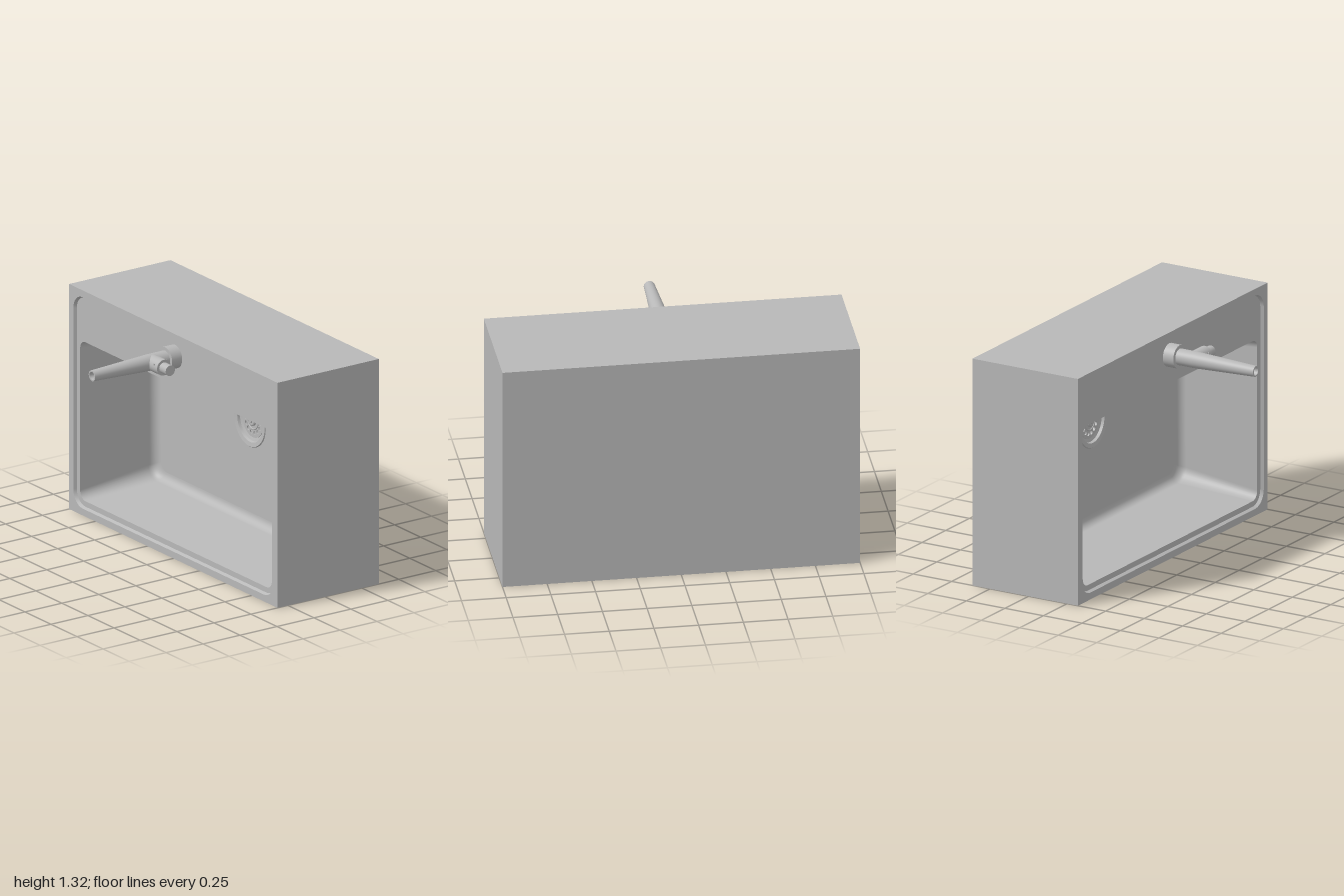
import * as THREE from 'three';

const FRONT = 0.07, DECK = 0.052, FLOOR = -0.45, DRAIN_Y = 0.7, DRAIN_R = 0.15;

// Rounded rectangle outline, anticlockwise seen from the front
function outline(hw, y0, y1, r, n = 8) {
  const pts = [];
  const corners = [[hw - r, y0 + r, -90], [hw - r, y1 - r, 0], [-hw + r, y1 - r, 90], [-hw + r, y0 + r, 180]];
  for (const [cx, cy, start] of corners) {
    for (let i = 0; i <= n; i++) {
      const a = THREE.MathUtils.degToRad(start + (90 * i) / n);
      pts.push(new THREE.Vector2(cx + r * Math.cos(a), cy + r * Math.sin(a)));
    }
  }
  return pts;
}

// Inward-facing wall through successive outlines
function wall(loops) {
  const n = loops[0].pts.length, pos = [], idx = [];
  for (const { pts, z } of loops) for (const p of pts) pos.push(p.x, p.y, z);
  for (let k = 0; k < loops.length - 1; k++) {
    for (let i = 0; i < n; i++) {
      const j = (i + 1) % n;
      const a = k * n + i, b = k * n + j, c = b + n, d = a + n;
      idx.push(a, b, c, a, c, d);
    }
  }
  const g = new THREE.BufferGeometry();
  g.setAttribute('position', new THREE.Float32BufferAttribute(pos, 3));
  g.setIndex(idx);
  g.computeVertexNormals();
  return g;
}

// Flat panel facing +z, with one hole
function panel(outer, hole, z) {
  const s = new THREE.Shape(outer);
  s.holes.push(new THREE.Path(hole));
  return new THREE.ShapeGeometry(s).translate(0, 0, z);
}

const circle = (r, cx, cy, n = 48) => Array.from({ length: n }, (_, i) => {
  const a = (i / n) * Math.PI * 2;
  return new THREE.Vector2(cx + r * Math.cos(a), cy + r * Math.sin(a));
});

// Turned part along +z with hard edges: each span gets its own normals
function turned(profile, seg = 40) {
  const group = new THREE.Group();
  for (let i = 0; i < profile.length - 1; i++) {
    const pair = [profile[i], profile[i + 1]].map(([r, z]) => new THREE.Vector2(r, z));
    group.add(new THREE.Mesh(new THREE.LatheGeometry(pair, seg).rotateX(Math.PI / 2)));
  }
  return group;
}

export function createModel() {
  const model = new THREE.Group();
  const grey = new THREE.MeshStandardMaterial({ color: 0xb8b8b8 });
  grey.name = 'grey';
  const add = (name, obj, parent = model) => {
    const o = obj.isBufferGeometry ? new THREE.Mesh(obj) : obj;
    o.name = name;
    parent.add(o);
    return o;
  };

  // Housing: a box without its front face
  const box = new THREE.BoxGeometry(2, 1.32, 0.685).translate(0, 0.66, FRONT - 0.3425);
  const index = Array.from(box.index.array);
  box.setIndex([...index.slice(0, 24), ...index.slice(30)]);
  box.clearGroups();
  add('housing', box);

  // Rim, shallow step and deck
  const rimEdge = outline(0.96, 0.04, 1.28, 0.09);
  const deckEdge = outline(0.952, 0.048, 1.272, 0.082);
  const mouth = outline(0.92, 0.08, 1.012, 0.05);
  const frame = [[-1, 0], [1, 0], [1, 1.32], [-1, 1.32]].map(([x, y]) => new THREE.Vector2(x, y));
  add('rim', panel(frame, rimEdge, FRONT));
  add('rimStep', wall([{ pts: rimEdge, z: FRONT }, { pts: deckEdge, z: DECK }]));
  add('deck', panel(deckEdge, mouth, DECK));

  // Basin walls: slight draft, then a fillet into the floor
  const fillet = 0.05;
  const loops = [{ pts: mouth, z: DECK }];
  let floorEdge;
  for (let i = 0; i <= 8; i++) {
    const a = (i / 8) * Math.PI / 2, inset = fillet * (1 - Math.cos(a));
    floorEdge = outline(0.905 - inset, 0.115 + inset, 0.998 - inset, 0.075 - inset * 0.5);
    loops.push({ pts: floorEdge, z: FLOOR + fillet * (1 - Math.sin(a)) });
  }
  add('basinWalls', wall(loops));
  add('basinFloor', panel(floorEdge, circle(DRAIN_R, 0, DRAIN_Y), FLOOR));

  // Overflow slot surround on the upper basin wall
  const overflow = add('overflow', new THREE.BoxGeometry(0.1, 0.006, 0.03));
  overflow.position.set(0, 1.004, -0.06);

  // Drain: stepped dish, perforated strainer and centre knob
  const drain = add('drain', new THREE.Group());
  drain.position.set(0, DRAIN_Y, FLOOR);
  add('drainDish', turned([[DRAIN_R, 0], [0.146, 0.006], [0.122, 0.002], [0.118, -0.014],
    [0.1, -0.02], [0.098, -0.05], [0, -0.05]], 48), drain);
  const strainer = new THREE.Shape(circle(0.099, 0, 0));
  for (let i = 0; i < 14; i++) {
    const a = (i / 14) * Math.PI * 2;
    strainer.holes.push(new THREE.Path(circle(0.012, 0.072 * Math.cos(a), 0.072 * Math.sin(a), 12)));
  }
  const plate = new THREE.ExtrudeGeometry(strainer, { depth: 0.008, bevelEnabled: false });
  add('strainer', plate.translate(0, 0, -0.026), drain);
  add('strainerRing', new THREE.TorusGeometry(0.05, 0.004, 8, 40).translate(0, 0, -0.018), drain);
  add('strainerKnob', turned([[0.03, -0.02], [0.03, -0.008], [0.024, -0.004], [0.012, -0.004],
    [0.01, 0.002], [0, 0.002]], 24), drain);

  // Tap: base collar, tapered spout with open tip, side lever
  const tap = add('tap', new THREE.Group());
  tap.position.set(-0.008, 1.18, 0);
  add('tapBase', turned([[0.067, DECK], [0.067, 0.12], [0.04, 0.12]]), tap);
  add('spout', turned([[0.047, 0.12], [0.047, 0.23], [0.031, 0.615], [0.023, 0.615],
    [0.021, 0.585], [0, 0.585]]), tap);
  const lever = add('lever', turned([[0.046, 0], [0.046, 0.118], [0.031, 0.118], [0.031, 0.18], [0, 0.18]]), tap);
  lever.rotation.y = Math.PI / 2;
  lever.position.z = 0.212;
  const mark = add('leverMark', new THREE.CylinderGeometry(0.006, 0.006, 0.006, 16).rotateX(Math.PI / 2), tap);
  mark.position.set(0.085, 0.018, 0.256);

  model.traverse((o) => { if (o.isMesh) o.material = grey; });
  return model;
}
